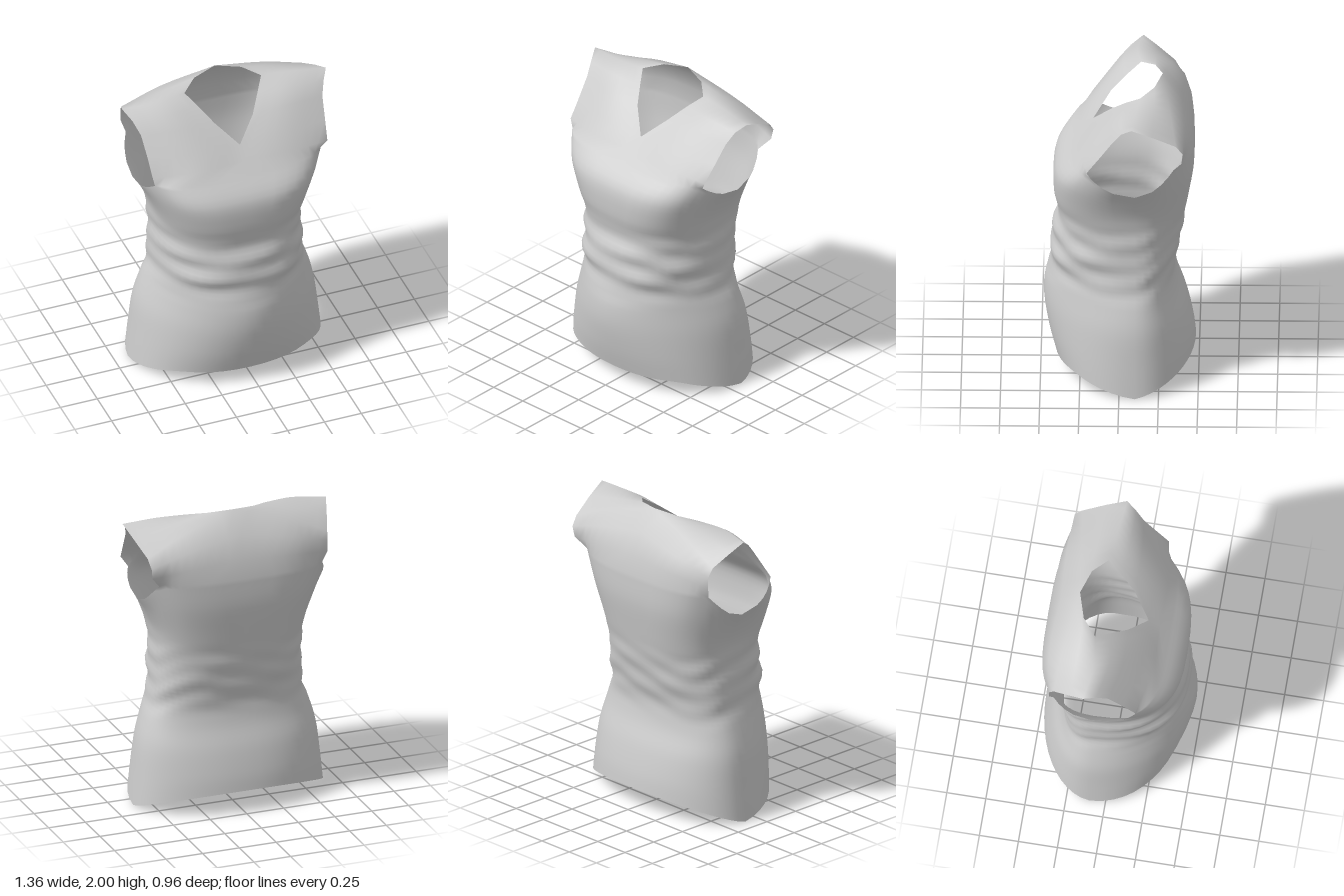
import * as THREE from 'three';
import { mergeVertices } from 'three/addons/utils/BufferGeometryUtils.js';

const V = (x, y, z) => new THREE.Vector3(x, y, z);
const AROUND = 48, ROWS = 44, XC = -0.02, ZC = -0.1, ARM = 8;

// Torso sections: side y, front y, back y, half width, front z, back z, front and back roundness
const SECTIONS = [
  [0.00, 0.10, 0.15, 0.635, 0.41, -0.48, 0.92, 0.95],
  [0.20, 0.25, 0.26, 0.615, 0.45, -0.465, 0.98, 0.93],
  [0.42, 0.43, 0.42, 0.590, 0.48, -0.425, 1.06, 0.91],
  [0.58, 0.58, 0.57, 0.545, 0.475, -0.37, 1.06, 0.88],
  [0.70, 0.70, 0.70, 0.500, 0.44, -0.35, 0.96, 0.84],
  [0.82, 0.82, 0.82, 0.490, 0.44, -0.37, 0.90, 0.82],
  [0.95, 0.95, 0.95, 0.482, 0.42, -0.395, 0.86, 0.82],
  [1.08, 1.08, 1.08, 0.482, 0.395, -0.415, 0.82, 0.80],
  [1.20, 1.22, 1.22, 0.500, 0.42, -0.44, 0.72, 0.74],
  [1.32, 1.40, 1.42, 0.550, 0.41, -0.47, 0.62, 0.66],
  [1.41, 1.53, 1.60, 0.605, 0.305, -0.47, 0.54, 0.60],
];

// Smoothly interpolated section values at t in 0..1
function sectionAt(t) {
  const n = SECTIONS.length - 1, f = t * n, i = Math.min(Math.floor(f), n - 1), u = f - i;
  const at = (k) => SECTIONS[Math.max(0, Math.min(n, k))];
  return SECTIONS[i].map((b, c) => {
    const a = at(i - 1)[c], d = at(i + 1)[c], e = at(i + 2)[c];
    return b + 0.5 * u * (d - a + u * (2 * a - 5 * b + 4 * d - e + u * (3 * (b - d) + e - a)));
  });
}

// One closed loop round the torso, with irregular gathered folds at the waist
function ring(t) {
  const [ys, yf, yb, w, zf, zb, pf, pb] = sectionAt(t);
  return Array.from({ length: AROUND }, (_, k) => {
    const a = (k / AROUND) * Math.PI * 2, c = Math.cos(a), s = Math.sin(a), front = s > 0;
    const p = front ? pf : pb;
    const reach = front ? 0.75 - 0.2 * t : 1 - 0.45 * t;
    const y = ys + ((front ? yf : yb) - ys) * Math.pow(Math.min(1, Math.abs(s) / reach), 1.1);
    const gather = Math.max(0, 1 - Math.pow((y - 0.88) / 0.27, 2));
    const fold = 1 + gather * (0.014 * Math.sin(y * 42 + 2.6 * Math.sin(2 * a + 0.5) + 1.4 * Math.cos(3 * a))
      + 0.012 * Math.sin(y * 27 + 5 * a));
    const x = w * Math.sign(c) * Math.pow(Math.abs(c), p);
    const z = (front ? zf - ZC : ZC - zb) * Math.sign(s) * Math.pow(Math.abs(s), p);
    return V(XC + x * fold, y, ZC + z * fold);
  });
}

// Shoulder rows, front to back: neck edge, middle, left armhole edge, right armhole edge
const SHOULDER = [
  [V(0, 1.60, 0.24), V(0.3, 1.60, 0.245), V(0.58, 1.58, 0.205), V(-0.595, 1.58, 0.18)],
  [V(0, 1.68, 0.17), V(0.3, 1.69, 0.175), V(0.595, 1.69, 0.125), V(-0.60, 1.69, 0.10)],
  [V(0.13, 1.81, 0.06), V(0.36, 1.82, 0.065), V(0.61, 1.81, 0.04), V(-0.61, 1.81, 0.01)],
  [V(0.20, 1.89, -0.04), V(0.4, 1.895, -0.015), V(0.64, 1.885, -0.015), V(-0.64, 1.88, -0.06)],
  [V(0.26, 1.95, -0.13), V(0.46, 1.948, -0.105), V(0.68, 1.93, -0.08), V(-0.68, 1.93, -0.14)],
  [V(0.16, 1.98, -0.22), V(0.4, 1.93, -0.22), V(0.655, 1.87, -0.21), V(-0.65, 1.87, -0.23)],
  [V(0, 2.0, -0.27), V(0.35, 1.90, -0.32), V(0.62, 1.79, -0.36), V(-0.61, 1.79, -0.34)],
  [V(0, 1.87, -0.39), V(0.35, 1.81, -0.41), V(0.61, 1.73, -0.405), V(-0.60, 1.73, -0.37)],
  [V(0, 1.72, -0.45), V(0.35, 1.70, -0.445), V(0.60, 1.66, -0.395), V(-0.60, 1.66, -0.37)],
];

export function createModel() {
  const pos = [];
  const tri = (...pts) => pts.forEach((p) => pos.push(p.x, p.y, p.z));
  const quad = (a, b, c, d) => { tri(a, b, c); tri(a, c, d); };

  // Skirt, waist and chest up to the underarms
  const rings = Array.from({ length: ROWS + 1 }, (_, r) => ring(r / ROWS));
  for (let r = 0; r < ROWS; r++) {
    for (let k = 0; k < AROUND; k++) {
      const n = (k + 1) % AROUND;
      quad(rings[r][k], rings[r + 1][k], rings[r + 1][n], rings[r][n]);
    }
  }

  // Chest, shoulder and upper back panels on each side, joined to the top loop
  const top = rings[ROWS];
  const cols = Array.from({ length: ARM + 1 }, (_, j) => j);
  for (const side of [1, -1]) {
    const rows = [
      cols.map((j) => top[AROUND / 4 - side * j]),
      ...SHOULDER.map(([neck, mid, left, right]) => new THREE.CatmullRomCurve3([
        V(side * neck.x, neck.y, neck.z), V(side * mid.x, mid.y, mid.z), side > 0 ? left : right,
      ]).getPoints(ARM)),
      cols.map((j) => top[(AROUND * 3) / 4 + side * j]),
    ];
    for (let i = 0; i < rows.length - 1; i++) {
      for (let j = 0; j < ARM; j++) {
        const q = [rows[i][j], rows[i][j + 1], rows[i + 1][j + 1], rows[i + 1][j]];
        quad(...(side > 0 ? q : q.reverse()));
      }
    }
  }

  let geo = new THREE.BufferGeometry();
  geo.setAttribute('position', new THREE.Float32BufferAttribute(pos, 3));
  geo = mergeVertices(geo, 1e-4);
  geo.computeVertexNormals();

  const shirt = new THREE.Mesh(geo, new THREE.MeshStandardMaterial({ color: 0xcccccc, side: THREE.DoubleSide }));
  shirt.name = 'sleevelessTop';
  const group = new THREE.Group();
  group.name = 'garment';
  group.add(shirt);
  return group;
}
